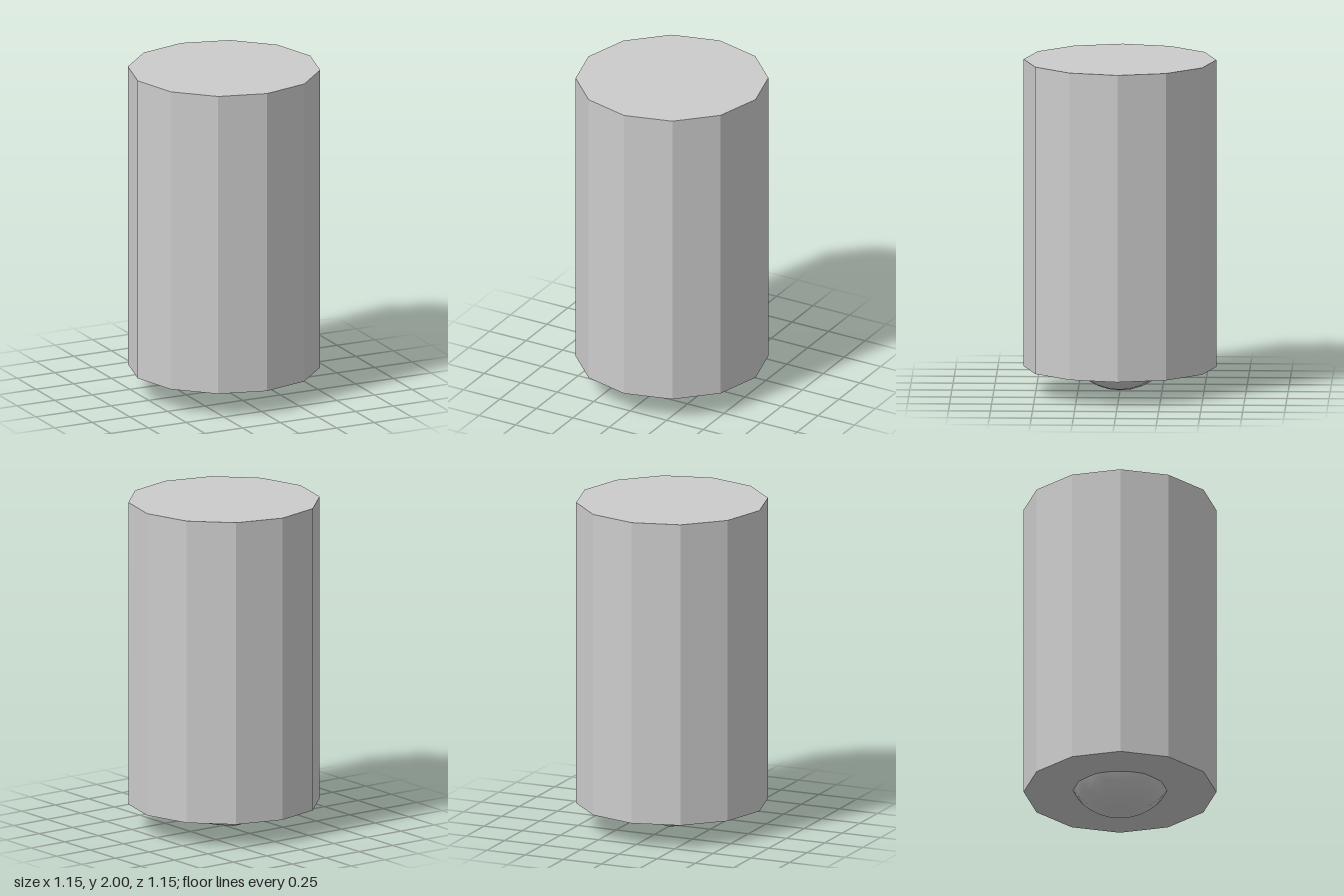
import * as THREE from 'three';

export function createModel() {
  const model = new THREE.Group();

  // Twelve-sided faceted body with flat caps
  const body = new THREE.Mesh(
    new THREE.CylinderGeometry(0.573, 0.573, 1.85, 12),
    new THREE.MeshStandardMaterial({ color: 0xcccccc, flatShading: true })
  );
  body.name = 'body';
  body.position.y = 1.075;
  model.add(body);

  // Smooth ball set into the underside, its poles along x
  const ball = new THREE.Mesh(
    new THREE.SphereGeometry(0.34, 32, 8),
    new THREE.MeshStandardMaterial({ color: 0xcccccc })
  );
  ball.name = 'bottomBall';
  ball.rotation.z = Math.PI / 2;
  ball.position.set(-0.02, 0.343, 0);
  model.add(ball);

  return model;
}
